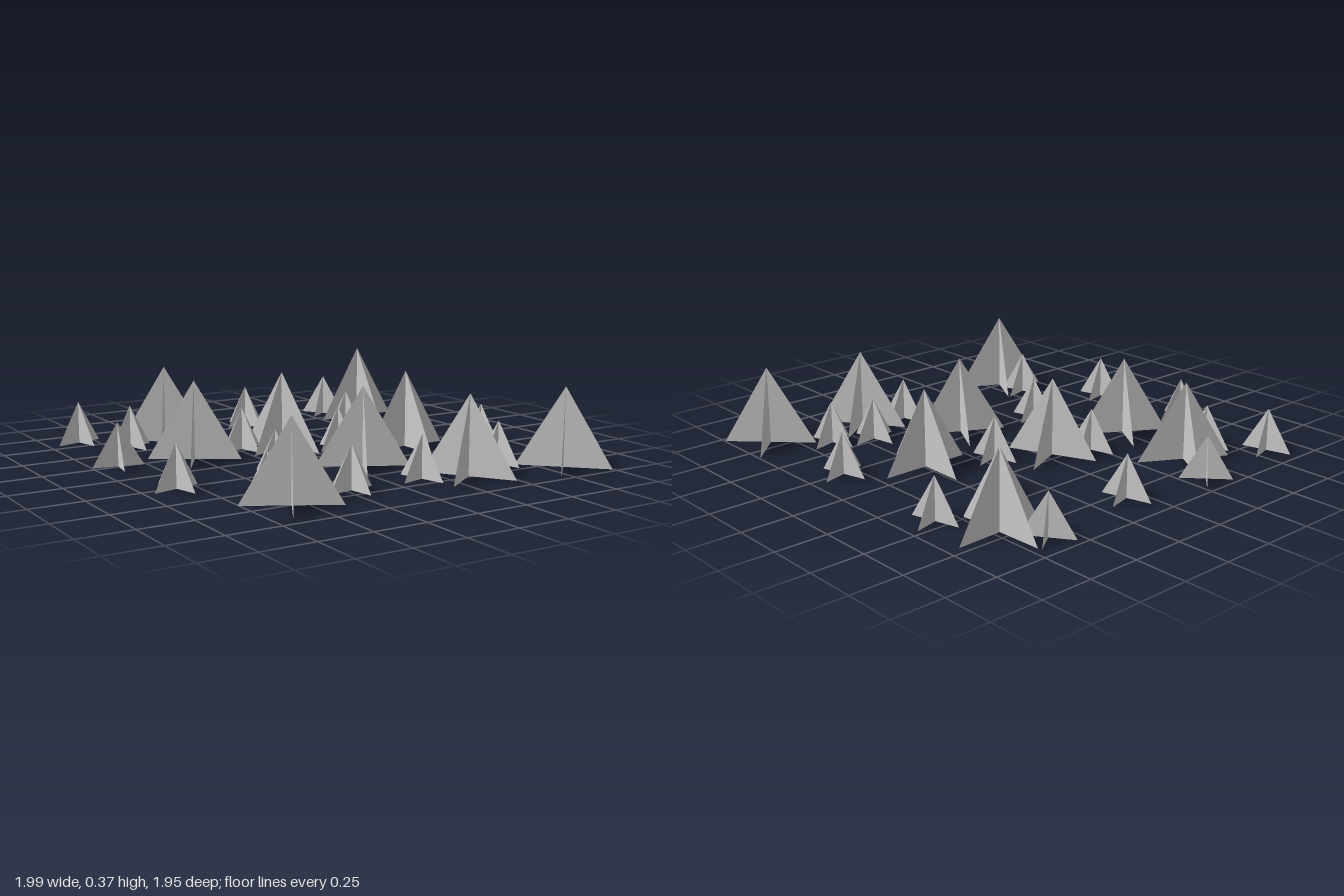
import * as THREE from 'three';

const HEIGHT = 0.373, RADIUS = 0.22, SMALL = 0.55;

// [x, z, turn in degrees] of every tuft
const largeTufts = [
  [-0.455, -0.655, 30], [-0.515, -0.21, 32], [-0.045, -0.205, 66],
  [0.72, -0.70, -2], [-0.565, 0.755, 29], [0.07, 0.325, 28],
  [0.49, 0.07, 0], [0.84, 0.82, 45], [0.36, 0.735, 55],
];
const smallTufts = [
  [-0.835, -0.84, 75], [-0.345, -0.885, 47], [-0.88, -0.26, 10],
  [0.08, -0.80, 75], [-0.84, 0.26, 75], [-0.66, -0.615, 75],
  [0.455, -0.405, 75], [-0.345, 0.245, 75], [0.185, -0.06, 75],
  [0.845, -0.44, 75], [-0.222, 0.675, 80], [0.155, 0.665, 75],
  [0.445, 0.525, 80], [0.82, 0.245, 75], [0.623, 0.617, 75],
  [-0.222, -0.285, 75], [-0.585, 0.59, 75], [0.61, -0.87, 55],
];

// One upright triangular blade, standing on the ground
function bladeGeometry() {
  const shape = new THREE.Shape();
  shape.moveTo(-RADIUS, 0);
  shape.lineTo(RADIUS, 0);
  shape.lineTo(0, HEIGHT);
  shape.closePath();
  return new THREE.ShapeGeometry(shape);
}

export function createModel() {
  const model = new THREE.Group();
  model.name = 'grassField';
  const material = new THREE.MeshStandardMaterial({
    color: 0xcccccc, flatShading: true, side: THREE.DoubleSide,
  });
  const blade = bladeGeometry();

  // A tuft is two blades crossed at right angles
  function addTuft([x, z, turn], scale, name) {
    const tuft = new THREE.Group();
    tuft.name = name;
    for (let i = 0; i < 2; i++) {
      const mesh = new THREE.Mesh(blade, material);
      mesh.name = 'blade';
      mesh.rotation.y = i * Math.PI / 2;
      tuft.add(mesh);
    }
    tuft.position.set(x, 0, z);
    tuft.rotation.y = -THREE.MathUtils.degToRad(turn);
    tuft.scale.setScalar(scale);
    model.add(tuft);
  }

  largeTufts.forEach((t) => addTuft(t, 1, 'largeTuft'));
  smallTufts.forEach((t) => addTuft(t, SMALL, 'smallTuft'));
  return model;
}
